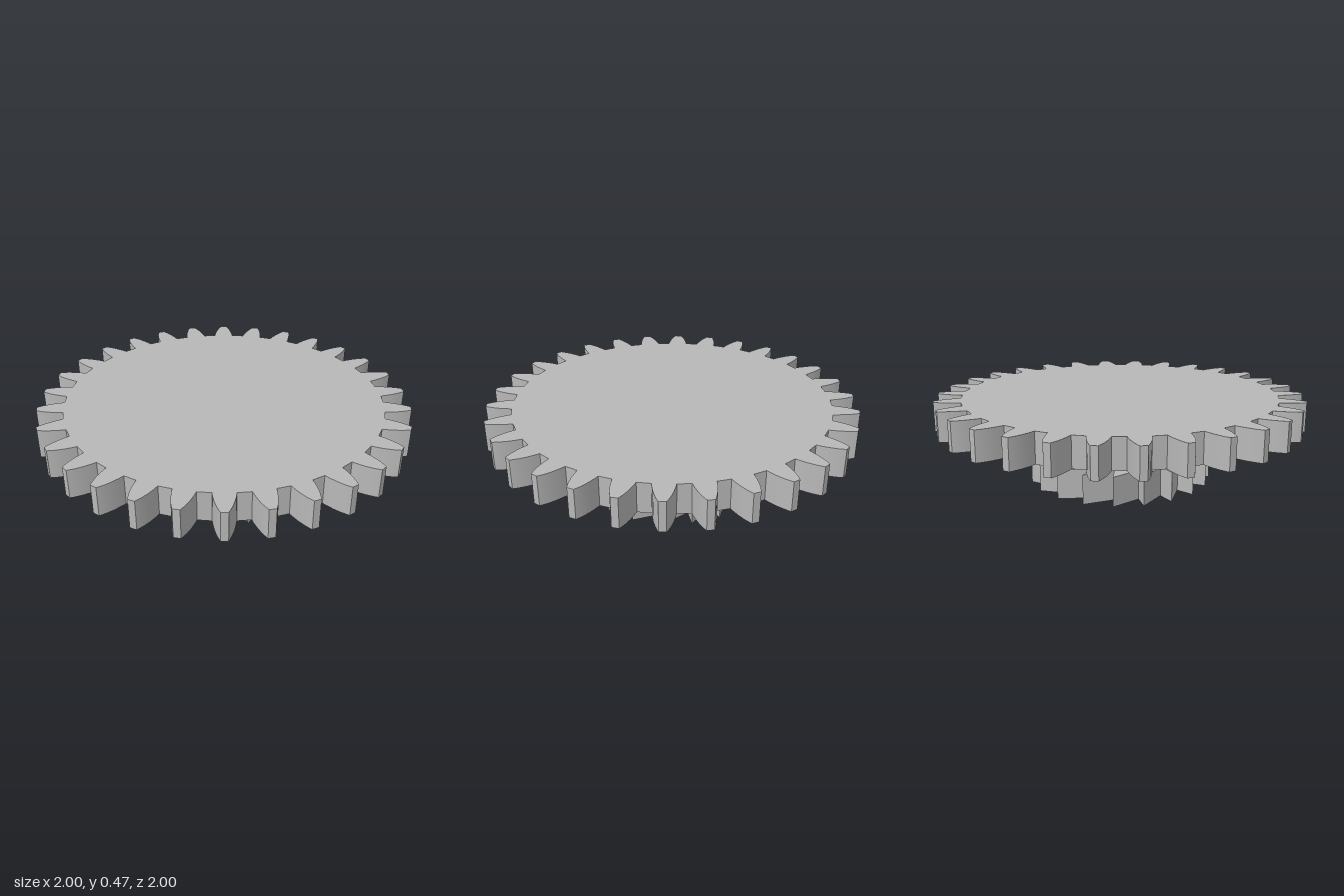
import * as THREE from 'three';
import { toCreasedNormals } from 'three/addons/utils/BufferGeometryUtils.js';

const STEP = 0.158; // thickness of each of the three layers
const BORE = 0.197;
const metal = new THREE.MeshStandardMaterial({ color: 0xb8b8b8 });
metal.name = 'grey metal';

// Point at a radius and an angle measured from the front (+z) towards +x
function polar(r, a) {
  return new THREE.Vector2(r * Math.sin(a), -r * Math.cos(a));
}

// Extrude an outline upwards from height y
function layer(name, shape, y, depth) {
  const raw = new THREE.ExtrudeGeometry(shape, { depth, bevelEnabled: false, curveSegments: 64 });
  raw.rotateX(-Math.PI / 2).translate(0, y, 0);
  const mesh = new THREE.Mesh(toCreasedNormals(raw, 0.45), metal);
  mesh.name = name;
  return mesh;
}

function boreHole() {
  return new THREE.Path().absarc(0, 0, BORE, 0, Math.PI * 2, true);
}

// Spur gear outline with curved tooth flanks
function spurOutline() {
  const teeth = 30;
  const offset = THREE.MathUtils.degToRad(-2.1);
  const flank = [[0.86, 0.056], [0.89, 0.052], [0.925, 0.045], [0.96, 0.035], [0.985, 0.025], [1, 0.018]]; // radius, half width
  const points = [];
  for (let i = 0; i < teeth; i++) {
    const a = offset + (i * Math.PI * 2) / teeth;
    for (const [r, w] of flank) points.push(polar(r, a - w / r));
    for (const [r, w] of [...flank].reverse()) points.push(polar(r, a + w / r));
  }
  return new THREE.Shape(points);
}

// Saw-tooth outline: radial riser, then a straight slope down to the next root
function ratchetOutline() {
  const teeth = 20;
  const points = [];
  for (let i = 0; i < teeth; i++) {
    const a = (i * Math.PI * 2) / teeth;
    points.push(polar(0.4, a), polar(0.5, a));
  }
  const shape = new THREE.Shape(points);
  shape.holes.push(boreHole());
  return shape;
}

export function createModel() {
  const group = new THREE.Group();
  group.name = 'ratchet gear';

  const hub = new THREE.Shape().absarc(0, 0, 0.25, 0, Math.PI * 2, false);
  hub.holes.push(boreHole());

  group.add(
    layer('ratchetWheel', ratchetOutline(), 0, STEP),
    layer('hub', hub, STEP, STEP),
    layer('spurGear', spurOutline(), STEP * 2, STEP)
  );
  return group;
}
